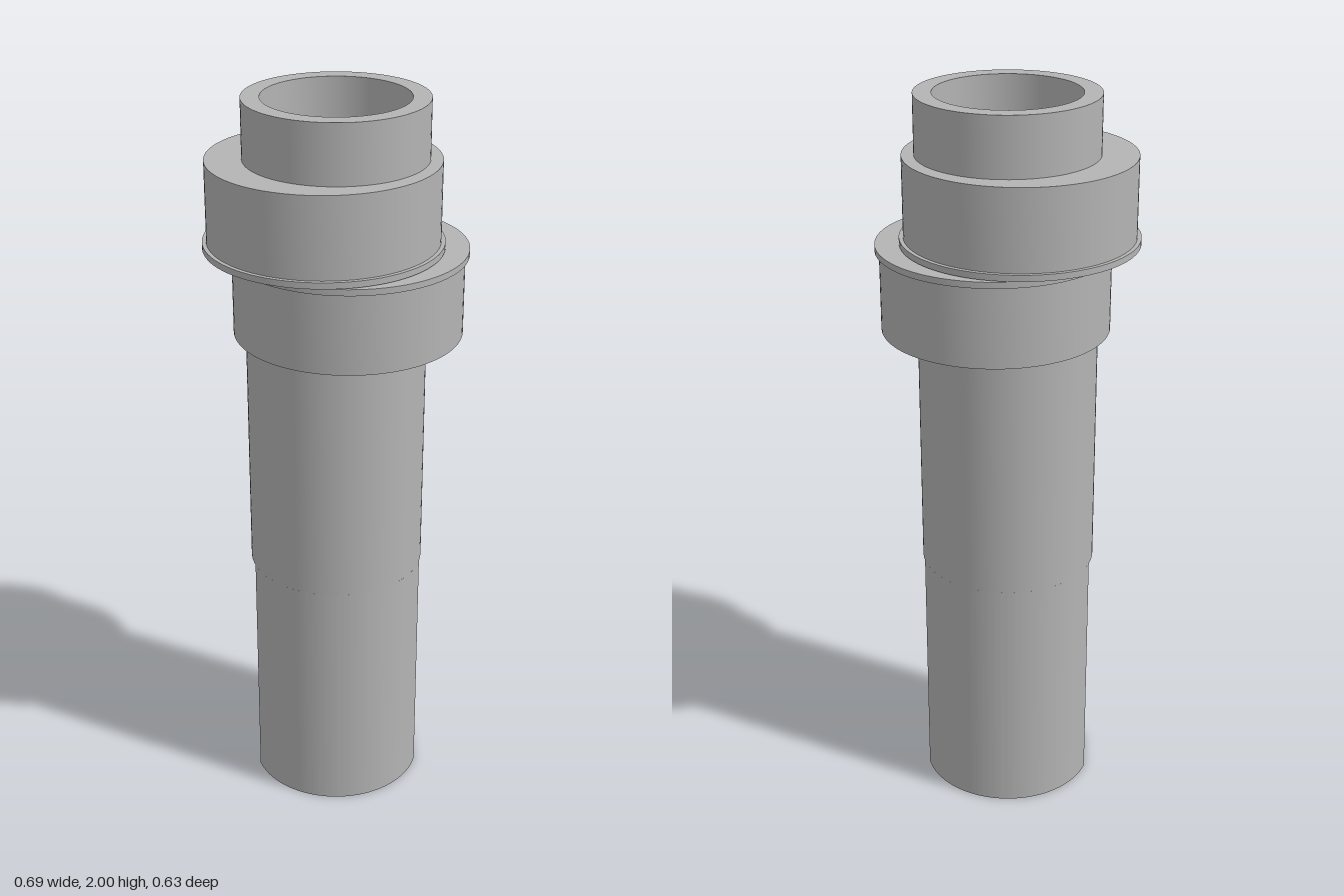
import * as THREE from 'three';
import { toCreasedNormals } from 'three/addons/utils/BufferGeometryUtils.js';

const OUTER = 0.24, BORE = 0.192, FLAT = 0.23;

export function createModel() {
  const model = new THREE.Group();
  model.name = 'eccentricCollarTube';
  const grey = new THREE.MeshStandardMaterial({ color: 0xb4b4b4 });
  grey.name = 'grey';

  const disc = (cx, r) => new THREE.Shape().absarc(cx, 0, r, 0, Math.PI * 2, false);

  // Extrudes an outline with a round hole on the main axis from y0 to y1
  function ring(name, outline, hole, y0, y1) {
    outline.holes.push(new THREE.Path().absarc(0, 0, hole, 0, Math.PI * 2, true));
    const geo = new THREE.ExtrudeGeometry(outline, { depth: y1 - y0, bevelEnabled: false, curveSegments: 48 });
    geo.rotateX(-Math.PI / 2).translate(0, y0, 0);
    const mesh = new THREE.Mesh(toCreasedNormals(geo, 0.2), grey);
    mesh.name = name;
    model.add(mesh);
  }

  // Lower tube with a flat milled on each side
  const a = Math.acos(FLAT / OUTER);
  const flatted = new THREE.Shape();
  flatted.absarc(0, 0, OUTER, a, Math.PI - a, false);
  flatted.absarc(0, 0, OUTER, Math.PI + a, Math.PI * 2 - a, false);
  flatted.closePath();
  ring('lowerTube', flatted, BORE, 0, 0.69);
  ring('upperTube', disc(0, OUTER), BORE, 0.69, 2);

  // Two collars offset to opposite sides, with thin flanges that meet
  ring('lowerCollar', disc(0.032, 0.304), 0.235, 1.374, 1.591);
  ring('lowerFlange', disc(0.032, 0.315), 0.235, 1.591, 1.608);
  ring('upperFlange', disc(-0.032, 0.315), 0.235, 1.61, 1.627);
  ring('upperCollar', disc(-0.032, 0.304), 0.235, 1.627, 1.843);

  return model;
}
